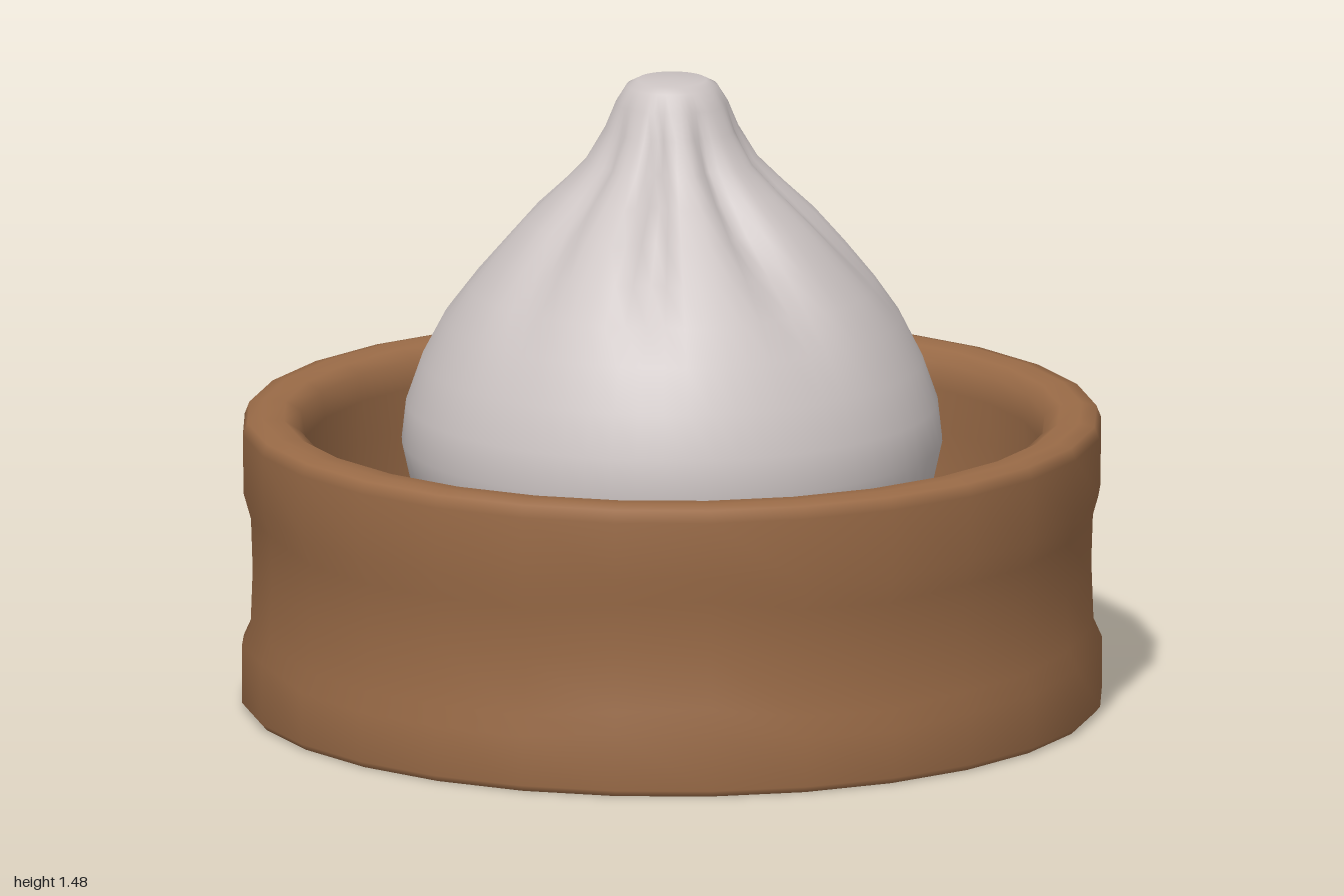
import * as THREE from 'three';
import { mergeVertices } from 'three/addons/utils/BufferGeometryUtils.js';

const bamboo = new THREE.MeshStandardMaterial({ color: 0x9a6b47 });
bamboo.name = 'bamboo brown';
const dough = new THREE.MeshStandardMaterial({ color: 0xcdc5c4 });
dough.name = 'dough white';
const paper = new THREE.MeshStandardMaterial({ color: 0xcdc8c6, side: THREE.DoubleSide });
paper.name = 'paper white';

const vectors = (pairs) => pairs.map(([x, y]) => new THREE.Vector2(x, y));

function add(group, name, geometry, material) {
  const mesh = new THREE.Mesh(geometry, material);
  mesh.name = name;
  group.add(mesh);
  return mesh;
}

// Smooth lathe whose rings are reshaped by rule(radius, height, angle) -> [radius, height]
function shapedLathe(profile, segments, rule) {
  let geo = new THREE.LatheGeometry(vectors(profile), segments);
  geo.deleteAttribute('uv');
  geo.deleteAttribute('normal');
  const pos = geo.attributes.position;
  for (let i = 0; i < pos.count; i++) {
    const x = pos.getX(i), z = pos.getZ(i);
    const angle = Math.atan2(x, z);
    const [r, y] = rule(Math.hypot(x, z), pos.getY(i), angle);
    pos.setXYZ(i, r * Math.sin(angle), y, r * Math.cos(angle));
  }
  geo = mergeVertices(geo, 1e-4);
  geo.computeVertexNormals();
  return geo;
}

export function createModel() {
  const model = new THREE.Group();
  model.name = 'steamedBunInBasket';

  // Basket wall: base band, slightly recessed waist, thick upper band and rounded rim
  const wall = [
    [0.985, 0], [0.998, 0.015], [0.998, 0.14], [0.978, 0.185], [0.973, 0.32], [0.977, 0.44],
    [0.994, 0.5], [0.996, 0.65], [0.985, 0.678], [0.95, 0.686], [0.9, 0.682], [0.865, 0.66],
    [0.855, 0.6], [0.865, 0.5], [0.86, 0.35],
  ];
  add(model, 'basketWall', shapedLathe(wall, 28, (r, y, a) => {
    const waist = r > 0.95 && y > 0.1 && y < 0.55;
    return [r, waist ? y + 0.014 * Math.sin(5 * a + 1) + 0.008 * Math.sin(9 * a) : y];
  }), bamboo);

  // Flat underside and inner floor
  const underside = add(model, 'basketUnderside', new THREE.CircleGeometry(0.986, 28), bamboo);
  underside.rotation.x = Math.PI / 2;
  const floor = add(model, 'basketFloor', new THREE.CircleGeometry(0.87, 28), bamboo);
  floor.rotation.x = -Math.PI / 2;
  floor.position.y = 0.36;

  // Irregular paper liner with a slit on one side, outlined in x and z
  const outline = [
    [-0.33, -0.77], [0.32, -0.77], [0.47, -0.7], [0.81, -0.2], [0.67, 0.5], [0.32, 0.77],
    [-0.18, 0.81], [-0.46, 0.7], [-0.78, 0.17], [-0.5, 0.185], [-0.5, 0.16], [-0.81, 0.12],
    [-0.69, -0.46],
  ];
  const linerShape = new THREE.Shape(vectors(outline.map(([x, z]) => [x, -z])));
  const liner = add(model, 'paperLiner', new THREE.ShapeGeometry(linerShape), paper);
  liner.rotation.x = -Math.PI / 2;
  liner.position.y = 0.38;

  // Bun: full belly drawn up into a pinched knot
  const bun = [
    [0, 0.375], [0.47, 0.38], [0.55, 0.44], [0.605, 0.53], [0.625, 0.62], [0.615, 0.71],
    [0.58, 0.81], [0.53, 0.91], [0.475, 0.99], [0.41, 1.07], [0.34, 1.15], [0.265, 1.22],
    [0.2, 1.285], [0.155, 1.36], [0.13, 1.42], [0.105, 1.46], [0.08, 1.473], [0, 1.475],
  ];
  // Twisted pleats fade out toward the belly and the knot
  add(model, 'bun', shapedLathe(bun, 64, (r, y, a) => {
    const fade = Math.max(0, 1 - Math.abs(y - 1.16) / 0.27);
    const fold = Math.pow(0.5 + 0.5 * Math.cos(8 * a + 2.5 * (y - 1.1) + 0.5 * Math.sin(3 * a)), 3);
    const depth = 0.05 + 0.02 * Math.sin(2 * a + 0.7);
    return [Math.max(0, r - depth * fade * fold), y];
  }), dough);

  return model;
}
